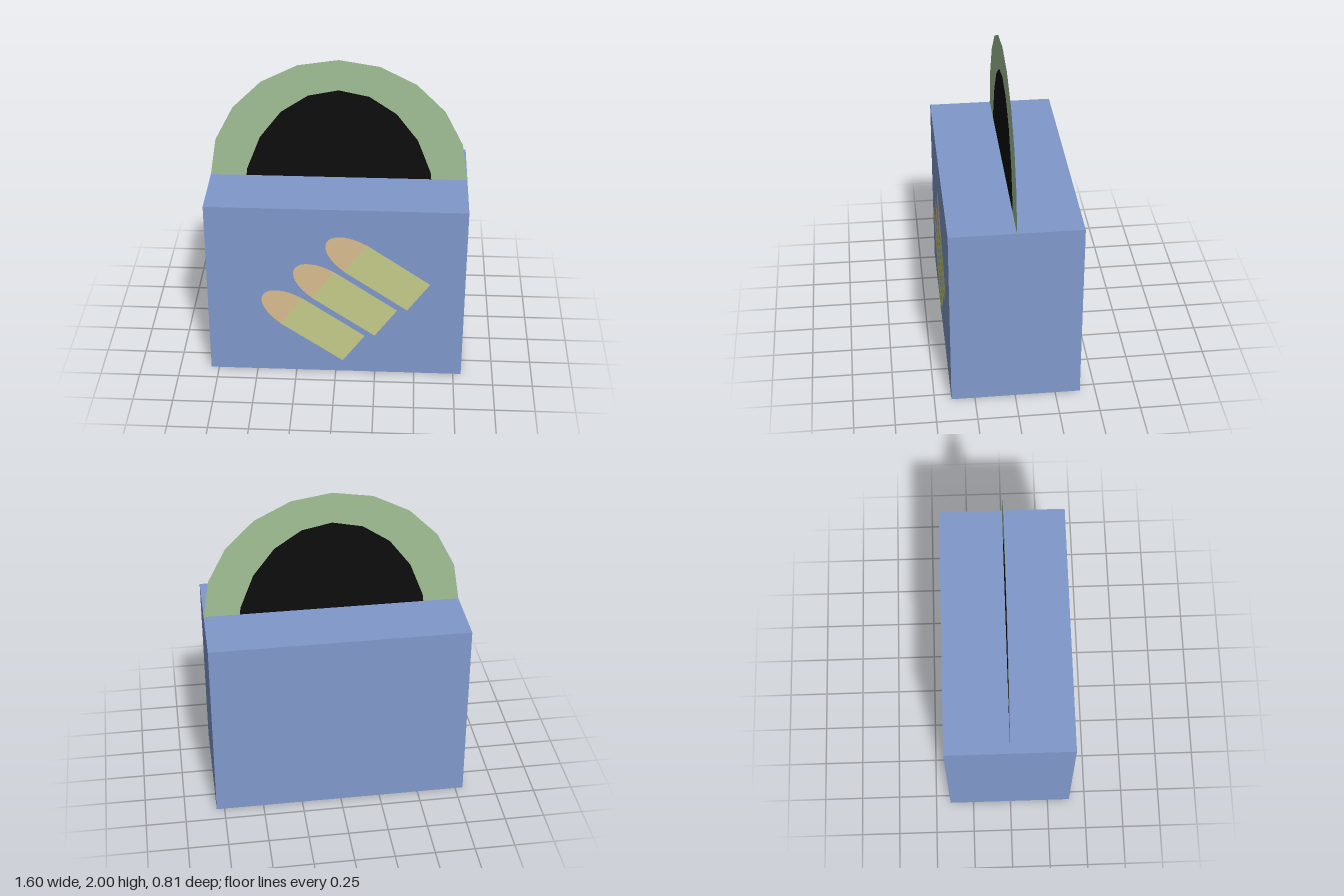
import * as THREE from 'three';

const material = (color, flat = true) =>
  new THREE.MeshStandardMaterial({ color, side: flat ? THREE.DoubleSide : THREE.FrontSide });

const blue = material(0x8099cc, false);
const green = material(0xa3c196);
const black = material(0x0d0d0d);
const yellow = material(0xc8ce8a);
const orange = material(0xdbbe92);

const BODY_Z = -0.005; // body is set back so the emblem sheets complete the depth
const TOP = 1.2;

function addMesh(parent, name, geometry, mat) {
  const mesh = new THREE.Mesh(geometry, mat);
  mesh.name = name;
  parent.add(mesh);
  return mesh;
}

const sheet = (points) => new THREE.ShapeGeometry(new THREE.Shape(points));

// Points along an elliptical arc
function arc(cx, cy, rx, ry, from, to, steps) {
  return Array.from({ length: steps + 1 }, (_, i) => {
    const t = from + ((to - from) * i) / steps;
    return new THREE.Vector2(cx + rx * Math.cos(t), cy + ry * Math.sin(t));
  });
}

// One flat cartridge, base centred on the origin and pointing along +y
function createCartridge() {
  const cartridge = new THREE.Group();
  cartridge.name = 'cartridge';
  const caseLength = 0.48, halfWidth = 0.12;
  const casing = addMesh(cartridge, 'casing', new THREE.PlaneGeometry(halfWidth * 2, caseLength), yellow);
  casing.position.y = caseLength / 2;
  const start = Math.asin(0.125);
  addMesh(cartridge, 'bulletTip',
    sheet(arc(0, 0.45, halfWidth, 0.24, start, Math.PI - start, 16)), orange);
  return cartridge;
}

export function createModel() {
  const model = new THREE.Group();
  model.name = 'ammoBox';

  // Solid box body
  const body = addMesh(model, 'body', new THREE.BoxGeometry(1.6, TOP, 0.8), blue);
  body.position.set(0, TOP / 2, BODY_Z);

  // Thin upright arch with a dark panel filling its opening
  const outer = arc(0, TOP, 0.8, 0.8, 0, Math.PI, 10);
  const inner = arc(0, 1.0, 0.6, 0.8, 0, Math.PI, 10).slice(1, -1);
  inner.unshift(new THREE.Vector2(0.576, TOP));
  inner.push(new THREE.Vector2(-0.576, TOP));
  const arch = addMesh(model, 'arch', sheet([...outer, ...[...inner].reverse()]), green);
  const panel = addMesh(model, 'archPanel', sheet(inner), black);
  arch.position.z = panel.position.z = BODY_Z;

  // Three slanted cartridges on the front face
  for (let i = 0; i < 3; i++) {
    const cartridge = createCartridge();
    cartridge.position.set(0.115 + 0.2 * i, 0.188 + 0.2 * i, 0.405);
    cartridge.rotation.z = THREE.MathUtils.degToRad(55);
    model.add(cartridge);
  }

  return model;
}
